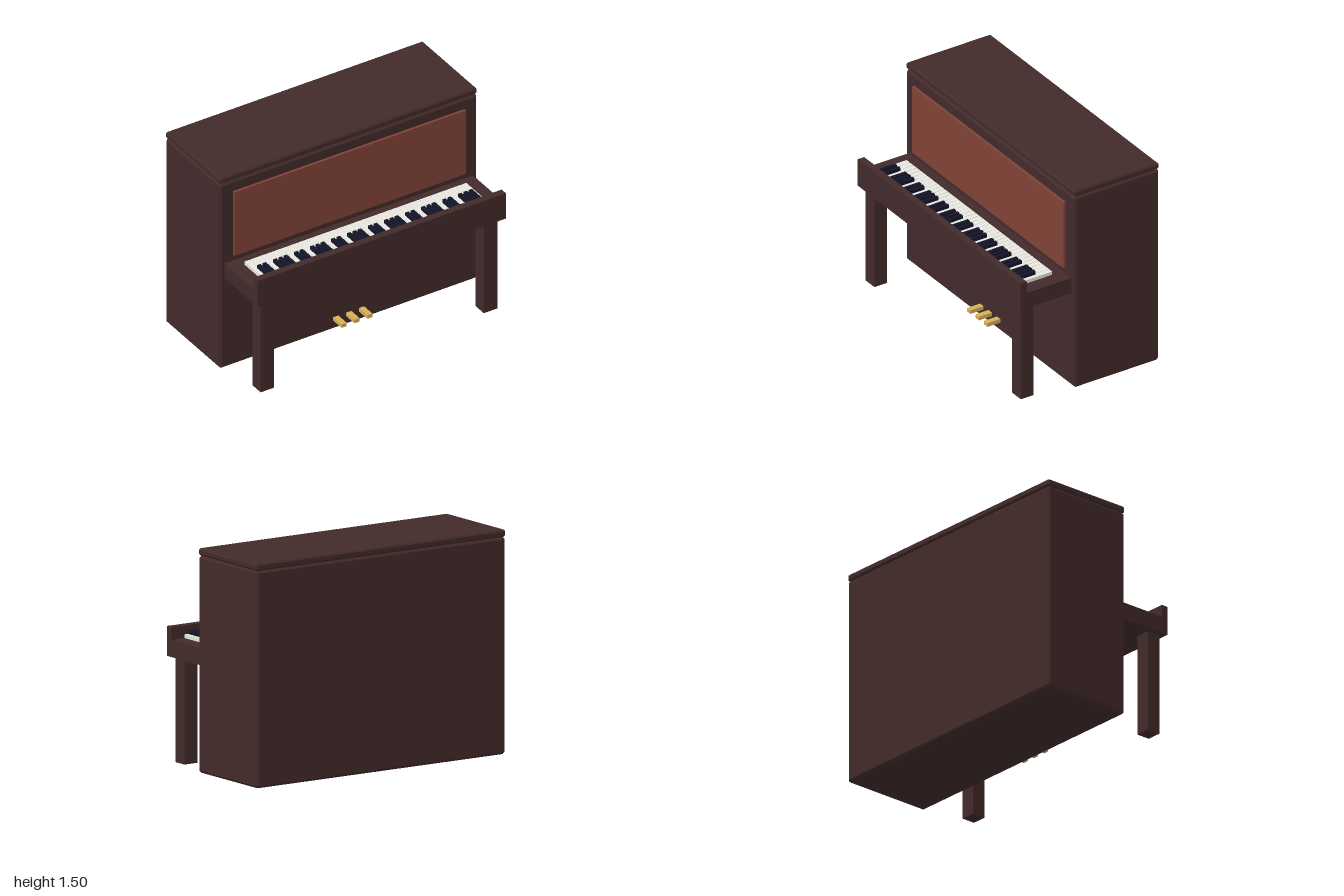
import * as THREE from 'three';
import { ConvexGeometry } from 'three/addons/geometries/ConvexGeometry.js';

const paint = (name, color) => {
  const m = new THREE.MeshStandardMaterial({ color });
  m.name = name;
  return m;
};

export function createModel() {
  const piano = new THREE.Group();
  piano.name = 'uprightPiano';

  const wood = paint('darkWood', 0x422a2a);
  const redwood = paint('reddishWood', 0x7f4236);
  const ivory = paint('ivory', 0xf8f8f0);
  const ebony = paint('ebony', 0x14142a);
  const brass = paint('brass', 0xd6b058);

  function add(name, geometry, material, parent = piano) {
    const mesh = new THREE.Mesh(geometry, material);
    mesh.name = name;
    parent.add(mesh);
    return mesh;
  }

  // Plain box given by its limits on each axis
  function box(name, [x0, x1], [y0, y1], [z0, z1], material, parent) {
    const mesh = add(name, new THREE.BoxGeometry(x1 - x0, y1 - y0, z1 - z0), material, parent);
    mesh.position.set((x0 + x1) / 2, (y0 + y1) / 2, (z0 + z1) / 2);
    return mesh;
  }

  // Box with every edge chamfered by c
  function chamferBox(name, [x0, x1], [y0, y1], [z0, z1], c, material) {
    const half = [(x1 - x0) / 2, (y1 - y0) / 2, (z1 - z0) / 2];
    const points = [];
    for (const sx of [-1, 1]) for (const sy of [-1, 1]) for (const sz of [-1, 1]) {
      for (let axis = 0; axis < 3; axis++) {
        const p = half.map((h, i) => (i === axis ? h : h - c));
        points.push(new THREE.Vector3(sx * p[0], sy * p[1], sz * p[2]));
      }
    }
    const mesh = add(name, new ConvexGeometry(points), material);
    mesh.position.set((x0 + x1) / 2, (y0 + y1) / 2, (z0 + z1) / 2);
    return mesh;
  }

  // Case, lid and front panel
  chamferBox('case', [-1, 1], [0, 1.452], [-0.533, 0.133], 0.016, wood);
  chamferBox('lid', [-1, 1], [1.452, 1.5], [-0.533, 0.133], 0.011, wood);
  box('frontPanel', [-0.9, 0.9], [0.87, 1.37], [0.125, 0.152], redwood);

  // Key bed, front rail and legs
  box('keyBed', [-0.965, 0.965], [0.71, 0.825], [0.12, 0.484], wood);
  box('frontRail', [-0.965, 0.965], [0.71, 0.91], [0.484, 0.535], wood);
  for (const side of [-1, 1]) {
    const leg = box('leg', [-0.0525, 0.0525], [0, 0.71], [0.402, 0.502], wood);
    leg.position.x = side * 0.867;
  }

  // Six octaves of keys
  const keyboard = new THREE.Group();
  keyboard.name = 'keyboard';
  piano.add(keyboard);
  const octaves = 6, count = octaves * 7, pitch = 0.0411, start = -count * pitch / 2;
  for (let i = 0; i < count; i++) {
    const x = start + i * pitch;
    box('whiteKey', [x, x + pitch - 0.0025], [0.825, 0.85], [0.217, 0.484], ivory, keyboard);
    // Raised keys sit after the 1st, 2nd, 4th, 5th and 6th white key of an octave
    if (i % 7 !== 2 && i % 7 !== 6) {
      const b = x + pitch - 0.001;
      box('blackKey', [b - 0.0125, b + 0.0125], [0.848, 0.875], [0.328, 0.477], ebony, keyboard);
    }
  }

  // Three pedals
  for (const x of [-0.1, 0, 0.1]) {
    box('pedal', [x - 0.02, x + 0.02], [0.07, 0.097], [0.12, 0.235], brass);
  }

  return piano;
}
